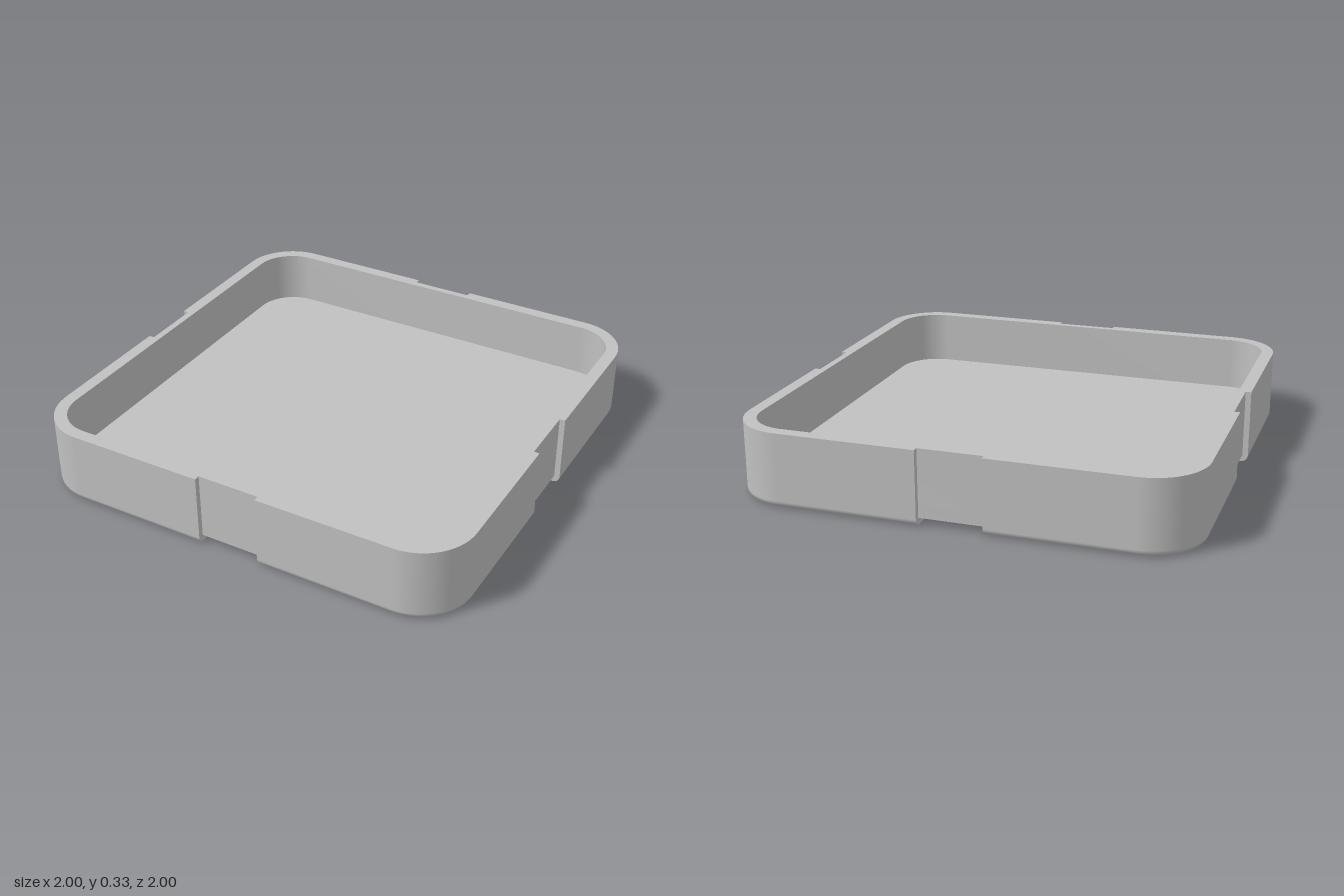
import * as THREE from 'three';
import { toCreasedNormals } from 'three/addons/utils/BufferGeometryUtils.js';

const HEIGHT = 0.33, RADIUS = 0.24, FILLET = 0.03, GROOVE = 0.142;
const CORE = 0.975, INNER = 0.943, FLOOR = 0.085;
const CENTRE = 1 - RADIUS, STEPS = 16;

// Rounded square outline, concentric with the outer corners
function roundedSquare(half, Type) {
  const p = new Type(), r = half - CENTRE;
  for (let q = 0; q < 4; q++) {
    const a = q * Math.PI / 2, m = a + Math.PI / 4;
    p.absarc(CENTRE * Math.SQRT2 * Math.cos(m), CENTRE * Math.SQRT2 * Math.sin(m), r, a, a + Math.PI / 2, false);
  }
  p.closePath();
  return p;
}

function slab(shape, bottom, top) {
  const g = new THREE.ExtrudeGeometry(shape, { depth: top - bottom, bevelEnabled: false, curveSegments: STEPS });
  g.rotateX(-Math.PI / 2).translate(0, bottom, 0);
  return toCreasedNormals(g, 0.6);
}

// Quarter outline from one groove edge round the corner to the next: position and outward normal
function quarterPath() {
  const path = [{ x: 1, z: GROOVE, nx: 1, nz: 0 }];
  for (let i = 0; i <= STEPS; i++) {
    const a = i / STEPS * Math.PI / 2, nx = Math.cos(a), nz = Math.sin(a);
    path.push({ x: CENTRE + RADIUS * nx, z: CENTRE + RADIUS * nz, nx, nz });
  }
  path.push({ x: GROOVE, z: 1, nx: 0, nz: 1 });
  return path;
}

// Side section from the rim down round the bottom fillet: height, inset, slope
function sideProfile() {
  const rows = [{ y: HEIGHT, d: 0, t: 0 }];
  for (let j = 0; j <= 6; j++) {
    const t = j / 6 * Math.PI / 2;
    rows.push({ y: FILLET * (1 - Math.sin(t)), d: FILLET * (1 - Math.cos(t)), t });
  }
  return rows;
}

function skinGeometry(path, rows) {
  const pos = [], nor = [], idx = [], n = path.length;
  for (const r of rows) for (const p of path) {
    pos.push(p.x - p.nx * r.d, r.y, p.z - p.nz * r.d);
    nor.push(p.nx * Math.cos(r.t), -Math.sin(r.t), p.nz * Math.cos(r.t));
  }
  for (let j = 0; j < rows.length - 1; j++) for (let i = 0; i < n - 1; i++) {
    const a = j * n + i, b = a + n;
    idx.push(a, a + 1, b, a + 1, b + 1, b);
  }
  const g = new THREE.BufferGeometry();
  g.setAttribute('position', new THREE.Float32BufferAttribute(pos, 3));
  g.setAttribute('normal', new THREE.Float32BufferAttribute(nor, 3));
  g.setIndex(idx);
  return g;
}

const flat = pts => new THREE.ShapeGeometry(new THREE.Shape(pts.map(([x, y]) => new THREE.Vector2(x, y))));

export function createModel() {
  const model = new THREE.Group();
  model.name = 'tray';
  const grey = new THREE.MeshStandardMaterial({ color: 0xc0c0c0 });
  grey.name = 'grey';
  const add = (parent, name, geometry) => {
    const m = new THREE.Mesh(geometry, grey);
    m.name = name;
    parent.add(m);
  };

  // Floor plate and inner wall, whose outside shows in the grooves
  add(model, 'floorPlate', slab(roundedSquare(CORE, THREE.Shape), FILLET, FLOOR));
  const ring = roundedSquare(CORE, THREE.Shape);
  ring.holes.push(roundedSquare(INNER, THREE.Path));
  add(model, 'wall', slab(ring, FLOOR, HEIGHT));

  // Raised corner blocks that leave the cross-shaped groove between them
  const path = quarterPath(), rows = sideProfile();
  const inset = d => path.map(p => [p.x - p.nx * d, p.z - p.nz * d]);
  const skin = skinGeometry(path, rows);
  const bottom = flat([[GROOVE, GROOVE], ...inset(FILLET)]).rotateX(Math.PI / 2);
  const rimPts = [...inset(0), ...inset(1 - CORE).reverse()];
  const rim = flat(rimPts.map(([x, z]) => [x, -z])).rotateX(-Math.PI / 2).translate(0, HEIGHT, 0);
  const section = [[CORE, FILLET], [CORE, HEIGHT], ...rows.map(r => [1 - r.d, r.y]), [GROOVE, 0], [GROOVE, FILLET]];
  const edgeA = flat(section.map(([x, y]) => [-x, y])).rotateY(Math.PI).translate(0, 0, GROOVE);
  const edgeB = flat(section).rotateY(-Math.PI / 2).translate(GROOVE, 0, 0);

  for (let q = 0; q < 4; q++) {
    const corner = new THREE.Group();
    corner.name = 'cornerBlock' + (q + 1);
    corner.rotation.y = q * Math.PI / 2;
    add(corner, 'outerSide', skin);
    add(corner, 'foot', bottom);
    add(corner, 'rim', rim);
    add(corner, 'grooveEdgeA', edgeA);
    add(corner, 'grooveEdgeB', edgeB);
    model.add(corner);
  }
  return model;
}
